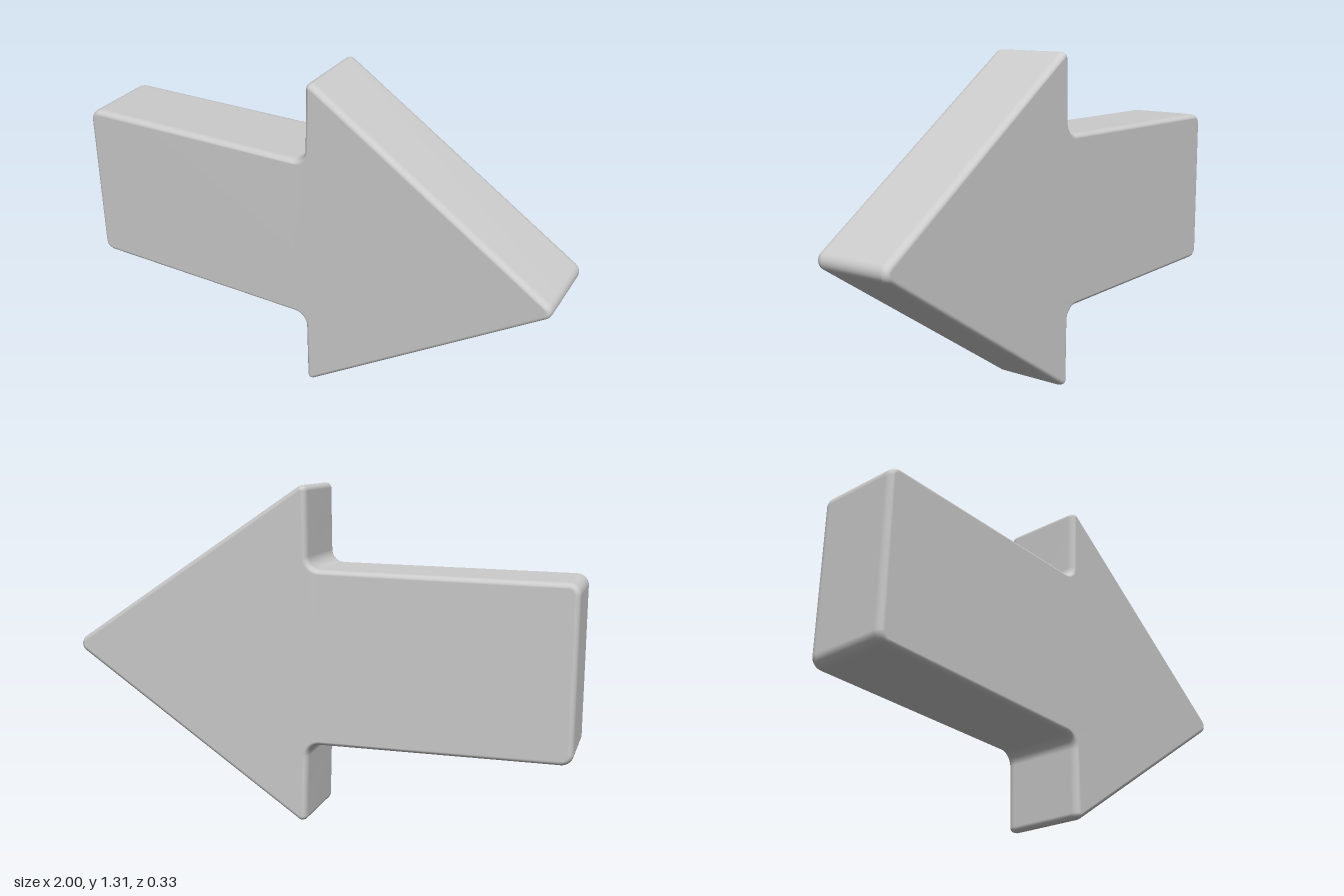
import * as THREE from 'three';
import { mergeVertices } from 'three/addons/utils/BufferGeometryUtils.js';

const MID = 0.6575;     // height of the arrow's axis
const DEPTH = 0.333;

// Closed outline with every corner [x, y, radius] rounded by an arc
function roundedOutline(corners, steps = 8) {
  const points = [];
  corners.forEach(([x, y, r], i) => {
    const n = corners.length;
    const p = new THREE.Vector2(x, y);
    const a = new THREE.Vector2(...corners[(i + n - 1) % n].slice(0, 2)).sub(p).normalize();
    const b = new THREE.Vector2(...corners[(i + 1) % n].slice(0, 2)).sub(p).normalize();
    const half = Math.acos(a.dot(b)) / 2;
    const centre = a.clone().add(b).normalize().multiplyScalar(r / Math.sin(half)).add(p);
    const from = a.multiplyScalar(r / Math.tan(half)).add(p).sub(centre);
    const sweep = (Math.PI - 2 * half) * Math.sign(from.cross(p.clone().sub(centre)));
    for (let s = 0; s <= steps; s++) {
      points.push(from.clone().rotateAround(new THREE.Vector2(), sweep * s / steps).add(centre));
    }
  });
  return new THREE.Shape(points);
}

export function createModel() {
  const group = new THREE.Group();
  group.name = 'arrowSign';

  // Upper half from tail to barb, mirrored below the axis, plus the tip
  const upper = [
    [-1, 0.99, 0.045],
    [0.012, 1.0, 0.05],
    [0.018, 1.332, 0.021],
  ];
  const lower = upper.map(([x, y, r]) => [x, 2 * MID - y, r]).reverse();
  const shape = roundedOutline([...upper, [1.03, MID, 0.0375], ...lower]);

  // Thick slab with softly rounded rims
  const rim = 0.03;
  let geometry = new THREE.ExtrudeGeometry(shape, {
    depth: DEPTH - 2 * rim,
    bevelThickness: rim,
    bevelSize: 0.018,
    bevelOffset: -0.018,
    bevelSegments: 6,
  });
  geometry.translate(0, 0, rim - DEPTH / 2);

  // Weld so the shading runs smoothly over the rims
  geometry.deleteAttribute('uv');
  geometry.deleteAttribute('normal');
  geometry = mergeVertices(geometry.translate(0, 0, -rim), 1e-5);
  geometry.computeBoundingBox();
  const box = geometry.boundingBox;
  geometry.translate(0, -box.min.y, -(box.min.z + box.max.z) / 2);
  geometry.computeVertexNormals();

  const arrow = new THREE.Mesh(geometry, new THREE.MeshStandardMaterial({ color: 0xcccccc }));
  arrow.name = 'arrow';
  group.add(arrow);
  return group;
}
